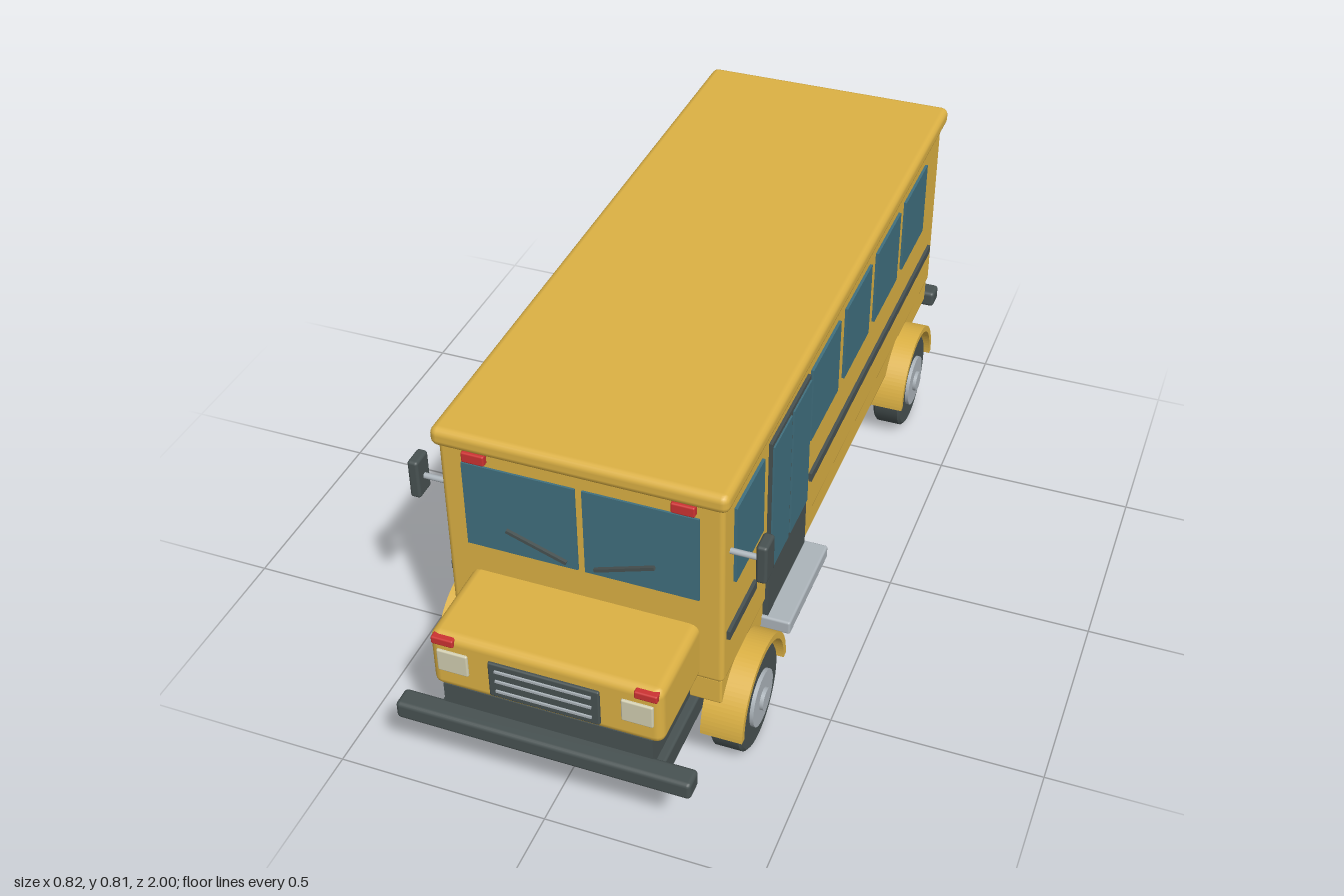
import * as THREE from 'three';
import { RoundedBoxGeometry } from 'three/addons/geometries/RoundedBoxGeometry.js';

const mat = (name, color) => {
  const m = new THREE.MeshStandardMaterial({ color });
  m.name = name;
  return m;
};

export function createModel() {
  const bus = new THREE.Group();
  bus.name = 'bus';
  const yellow = mat('yellow paint', 0xdcb144);
  const dark = mat('dark grey', 0x485252);
  const glass = mat('window glass', 0x40707f);
  const red = mat('red lamp', 0xcc3232);
  const cream = mat('headlight cream', 0xd3cfb2);
  const silver = mat('silver metal', 0xacb4ba);

  const add = (name, geo, m, parent = bus) => {
    const mesh = new THREE.Mesh(geo, m);
    mesh.name = name;
    parent.add(mesh);
    return mesh;
  };
  // Box given by its min and max on each axis, rounded when r > 0
  const box = (name, m, x0, x1, y0, y1, z0, z1, r = 0, parent = bus) => {
    const s = [Math.abs(x1 - x0), y1 - y0, z1 - z0];
    const geo = r ? new RoundedBoxGeometry(...s, 2, r) : new THREE.BoxGeometry(...s);
    const mesh = add(name, geo, m, parent);
    mesh.position.set((x0 + x1) / 2, (y0 + y1) / 2, (z0 + z1) / 2);
    return mesh;
  };
  // Cylinder lying along x
  const rod = (name, m, r, x0, x1, y, z, parent = bus, seg = 32) => {
    const geo = new THREE.CylinderGeometry(r, r, Math.abs(x1 - x0), seg).rotateZ(Math.PI / 2);
    const mesh = add(name, geo, m, parent);
    mesh.position.set((x0 + x1) / 2, y, z);
    return mesh;
  };

  // Main shell
  box('body', yellow, -0.32, 0.32, 0.28, 0.785, -0.96, 0.74, 0.012);
  box('skirt', yellow, -0.315, 0.315, 0.213, 0.285, -0.955, 0.735, 0.006);
  box('roof', yellow, -0.333, 0.333, 0.768, 0.815, -0.98, 0.755, 0.018);
  box('hood', yellow, -0.266, 0.266, 0.283, 0.437, 0.7, 0.957, 0.022);

  // Chassis and bumpers
  box('chassis', dark, -0.262, 0.262, 0.158, 0.216, -0.92, 0.955, 0.006);
  box('noseFrame', dark, -0.242, 0.242, 0.21, 0.292, 0.7, 0.955);
  box('frontBumper', dark, -0.342, 0.342, 0.193, 0.238, 0.947, 1, 0.01);
  box('rearBumper', dark, -0.342, 0.342, 0.193, 0.238, -1, -0.947, 0.01);

  // Nose: grille, bars, lamps
  box('grille', dark, -0.127, 0.127, 0.304, 0.4, 0.945, 0.964, 0.004);
  for (const y of [0.325, 0.354, 0.382])
    box('grilleBar', silver, -0.11, 0.11, y - 0.003, y + 0.003, 0.96, 0.968);

  for (const s of [-1, 1]) {
    box('headlight', cream, s * 0.175, s * 0.247, 0.338, 0.397, 0.945, 0.963, 0.004);
    box('hoodLamp', red, s * 0.205, s * 0.257, 0.412, 0.432, 0.935, 0.963, 0.004);
    box('roofLamp', red, s * 0.208, s * 0.261, 0.744, 0.77, 0.73, 0.754, 0.004);
    box('tailLight', red, s * 0.235, s * 0.287, 0.332, 0.407, -0.97, -0.95, 0.004);
    box('windshield', glass, s * 0.008, s * 0.267, 0.513, 0.735, 0.737, 0.745);

    // Wiper, rising outward
    const wiper = box('wiper', dark, -0.073, 0.073, -0.004, 0.004, -0.004, 0.004);
    wiper.position.set(s * 0.101, 0.555, 0.75);
    wiper.rotation.z = s * 0.34;

    // Mirror on its arm
    rod('mirrorArm', silver, 0.007, s * 0.31, s * 0.39, 0.633, 0.7, bus, 12);
    box('mirror', dark, s * 0.383, s * 0.408, 0.587, 0.685, 0.675, 0.728, 0.007);

    // Side windows; the door takes one place on the left
    const windows = [[0.505, 0.68], [-0.04, 0.17], [-0.295, -0.09], [-0.55, -0.345], [-0.805, -0.6]];
    if (s < 0) windows.push([0.22, 0.43]);
    for (const [a, b] of windows)
      box('sideWindow', glass, s * 0.319, s * 0.327, 0.53, 0.73, a, b);

    // Side stripes
    const stripes = s > 0 ? [[0.545, 0.72], [-0.91, 0.155]] : [[-0.91, 0.72]];
    for (const [a, b] of stripes)
      box('sideStripe', dark, s * 0.319, s * 0.328, 0.398, 0.421, a, b);
  }

  // Entry door and step
  const door = new THREE.Group();
  door.name = 'door';
  bus.add(door);
  box('doorPanel', dark, 0.31, 0.328, 0.235, 0.736, 0.192, 0.462, 0, door);
  for (const [a, b] of [[0.197, 0.322], [0.336, 0.457]])
    box('doorGlass', glass, 0.325, 0.332, 0.377, 0.725, a, b, 0, door);
  box('step', silver, 0.3, 0.384, 0.205, 0.241, 0.183, 0.47, 0.006);

  // Fender arch: half ring extruded along x
  const arch = new THREE.Shape();
  arch.absarc(0, 0, 0.152, 0, Math.PI, false);
  arch.absarc(0, 0, 0.136, Math.PI, 0, true);
  const archGeo = new THREE.ExtrudeGeometry(arch, { depth: 0.098, bevelEnabled: false, curveSegments: 24 });
  archGeo.rotateY(Math.PI / 2);

  // Rounded tyre profile
  const tyreGeo = new THREE.LatheGeometry([
    [0.001, -0.037], [0.12, -0.037], [0.12, -0.037], [0.127, -0.031], [0.127, -0.031],
    [0.127, 0.031], [0.127, 0.031], [0.12, 0.037], [0.12, 0.037], [0.001, 0.037],
  ].map(([x, y]) => new THREE.Vector2(x, y)), 40).rotateZ(Math.PI / 2);

  for (const z of [0.605, -0.68]) {
    rod('axle', dark, 0.02, -0.3, 0.3, 0.13, z);
    for (const s of [-1, 1]) {
      const wheel = new THREE.Group();
      wheel.name = 'wheel';
      bus.add(wheel);
      add('tyre', tyreGeo, dark, wheel).position.set(s * 0.322, 0.127, z);
      rod('wheelDisc', silver, 0.068, s * 0.35, s * 0.368, 0.127, z, wheel);
      rod('hubCap', silver, 0.027, s * 0.36, s * 0.377, 0.127, z, wheel);
      add('fender', archGeo, yellow).position.set(s > 0 ? 0.273 : -0.371, 0.13, z);
    }
  }
  box('frontAxleBeam', dark, -0.22, 0.22, 0.122, 0.16, 0.585, 0.625);
  return bus;
}
